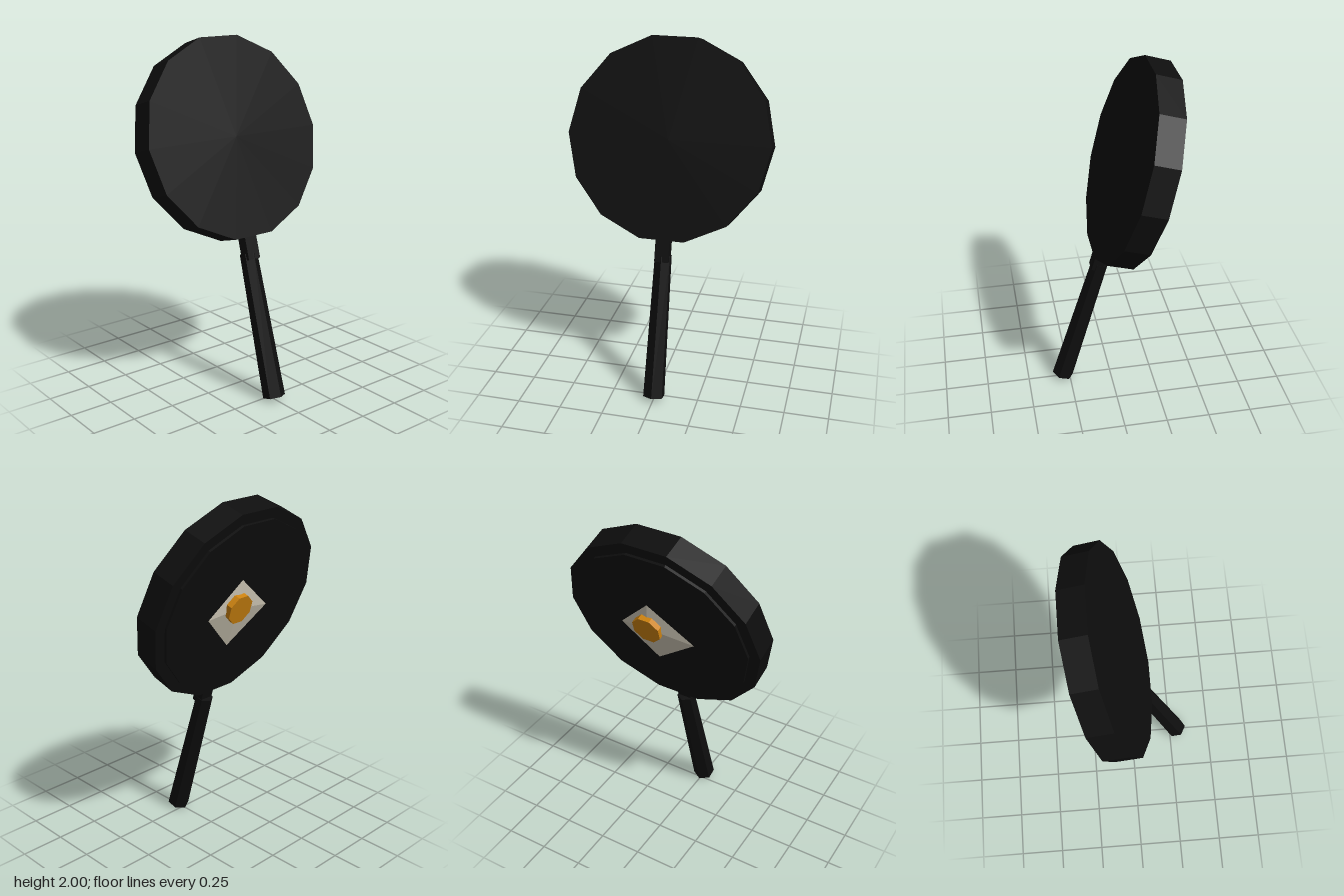
import * as THREE from 'three';
import { ConvexGeometry } from 'three/addons/geometries/ConvexGeometry.js';

const material = (name, color, flatShading = true) => {
  const m = new THREE.MeshStandardMaterial({ color, flatShading });
  m.name = name;
  return m;
};

export function createModel() {
  const iron = material('black iron', 0x0e0e0e);
  const white = material('egg white', 0xcdc6b4);
  const yellow = material('yolk yellow', 0xcc820f);

  const model = new THREE.Group();
  model.name = 'fryingPan';

  // Leaning frame: origin at the centre of the pan's underside, food side faces -z
  const pan = new THREE.Group();
  pan.name = 'leaningPan';
  pan.position.set(0, 1.4675, -0.0525);
  pan.rotation.x = -0.288;
  model.add(pan);

  const add = (name, geometry, mat, x = 0, y = 0, z = 0) => {
    const mesh = new THREE.Mesh(geometry, mat);
    mesh.name = name;
    mesh.position.set(x, y, z);
    pan.add(mesh);
    return mesh;
  };

  // Faceted disc with its axis along z
  const disc = (radius, depth, sides) =>
    new THREE.CylinderGeometry(radius, radius, depth, sides, 1, false, Math.PI / sides)
      .rotateX(Math.PI / 2);

  // Pan body and slightly raised cooking surface
  add('panBody', disc(0.573, 0.145, 14), iron, 0, 0, -0.0725);
  add('cookingSurface', disc(0.512, 0.06, 14), iron, 0, 0, -0.13);

  // Neck and tapered hexagonal handle
  add('handleNeck', new THREE.BoxGeometry(0.08, 0.17, 0.065), iron, 0, -0.605, -0.066);
  add('handle', new THREE.CylinderGeometry(0.05, 0.0635, 0.829, 6), iron, 0, -1.0695, -0.081);

  // Fried egg: a shallow four-cornered white with the yolk on its peak
  const rim = [[0.04, 0.185], [-0.205, -0.025], [0.04, -0.225], [0.235, -0.015]]
    .map(([x, y]) => new THREE.Vector3(x, y, -0.177));
  const peak = new THREE.Vector3(0.05, 0.03, -0.206);
  const base = new THREE.Vector3(0.03, -0.02, -0.158);
  add('eggWhite', new ConvexGeometry([...rim, peak, base]), white);
  add('eggYolk', disc(0.085, 0.04, 8), yellow, 0.05, 0.028, -0.199);

  return model;
}
